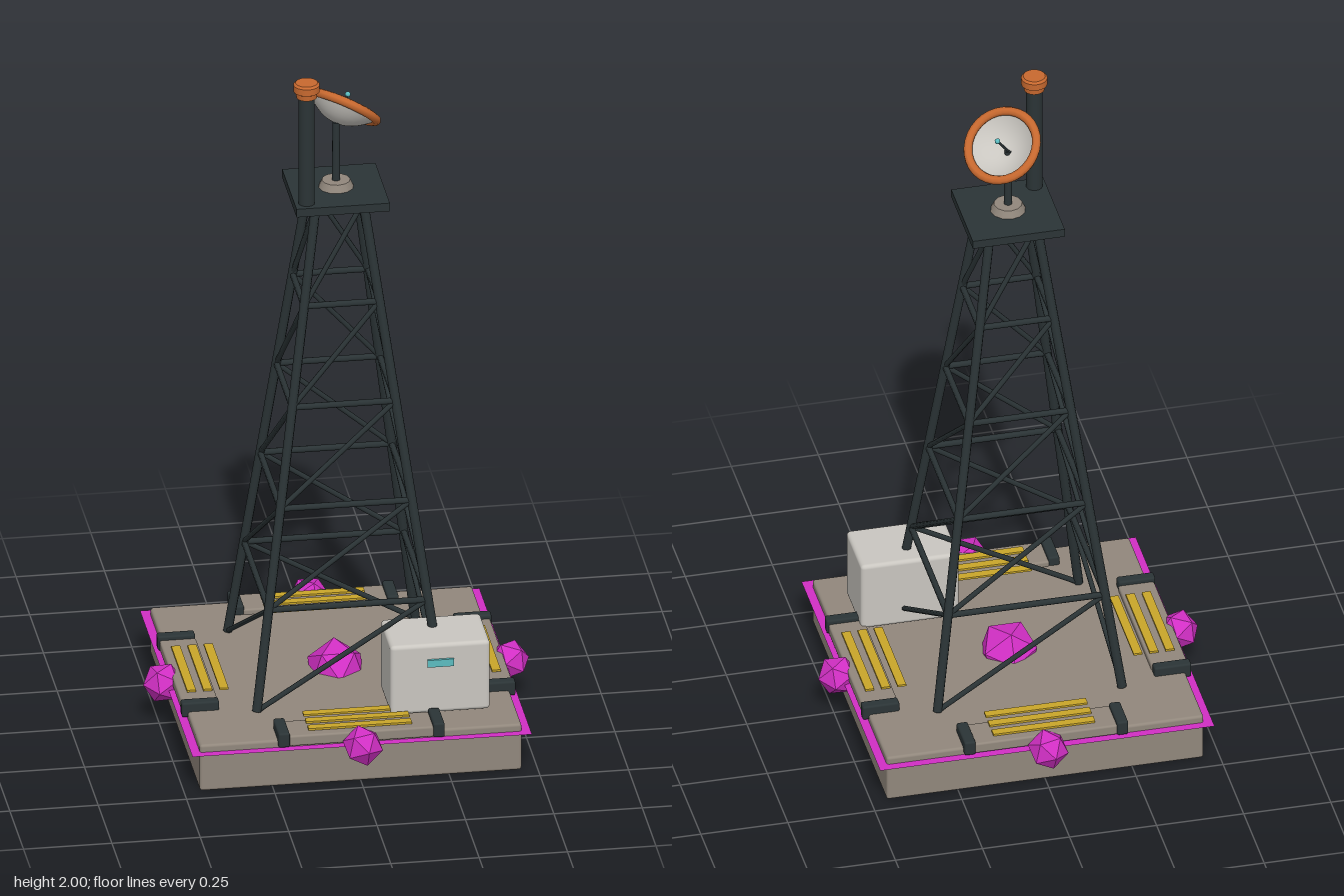
import * as THREE from 'three';
import { RoundedBoxGeometry } from 'three/addons/geometries/RoundedBoxGeometry.js';

const mat = (name, color, side = THREE.FrontSide) => {
  const m = new THREE.MeshStandardMaterial({ color, side });
  m.name = name;
  return m;
};

export function createModel() {
  const M = {
    stone: mat('warm grey', 0x91877c),
    steel: mat('dark steel', 0x2b3436),
    shell: mat('pale grey', 0xc9c6c0, THREE.DoubleSide),
    orange: mat('orange', 0xc8692f),
    yellow: mat('yellow', 0xc9a62a),
    magenta: mat('magenta', 0xd12fc4, THREE.DoubleSide),
    cyan: mat('cyan', 0x5cbcc0),
  };
  M.magenta.flatShading = true;
  const root = new THREE.Group();
  root.name = 'radioTower';

  const add = (parent, name, geo, material, x = 0, y = 0, z = 0) => {
    const mesh = new THREE.Mesh(geo, material);
    mesh.name = name;
    mesh.position.set(x, y, z);
    parent.add(mesh);
    return mesh;
  };
  const rbox = (w, h, d, r) => new RoundedBoxGeometry(w, h, d, 2, r);
  const UP = new THREE.Vector3(0, 1, 0);
  // round bar between two points
  const bar = (parent, name, a, b, r, sides = 8) => {
    const d = b.clone().sub(a);
    const m = add(parent, name, new THREE.CylinderGeometry(r, r, d.length(), sides), M.steel);
    m.position.copy(a).add(b).multiplyScalar(0.5);
    m.quaternion.setFromUnitVectors(UP, d.normalize());
  };

  // base slab with a thin sheet skirting its edge
  add(root, 'baseSlab', rbox(0.91, 0.142, 0.91, 0.008), M.stone, 0, 0.071, 0);
  add(root, 'edgeSheet', new THREE.PlaneGeometry(0.96, 0.96), M.magenta, 0, 0.12, 0).rotation.x = -Math.PI / 2;
  add(root, 'centreCrystal', new THREE.IcosahedronGeometry(0.088, 0), M.magenta, 0, 0.132, 0).rotation.x = 0.55;

  // the four sides: pad, clamps, stripes and crystal
  for (let i = 0; i < 4; i++) {
    const side = new THREE.Group();
    side.name = 'sideDock';
    side.rotation.y = i * Math.PI / 2;
    root.add(side);
    add(side, 'pad', rbox(0.41, 0.032, 0.103, 0.006), M.stone, 0, 0.142, 0.416);
    for (const s of [-1, 1]) {
      add(side, 'clamp', rbox(0.032, 0.044, 0.106, 0.006), M.steel, s * 0.219, 0.147, 0.419);
    }
    for (const z of [0.339, 0.385, 0.431]) {
      add(side, 'stripe', new THREE.BoxGeometry(0.292, 0.006, 0.025), M.yellow, 0, 0.163, z);
    }
    add(side, 'crystal', new THREE.IcosahedronGeometry(0.058, 0), M.magenta, 0, 0.125, 0.49).rotation.set(0.55, 0.2, 0);
  }

  // lattice tower: legs, level rungs and one diagonal per face in each bay
  const tower = new THREE.Group();
  tower.name = 'latticeTower';
  root.add(tower);
  const levels = 5;
  const corner = (k, level) => {
    const t = level / levels;
    const h = THREE.MathUtils.lerp(0.265, 0.067, t);
    const [sx, sz] = [[-1, 1], [1, 1], [1, -1], [-1, -1]][k % 4];
    return new THREE.Vector3(sx * h, 0.145 + t * 1.46, sz * h);
  };
  for (let k = 0; k < 4; k++) {
    bar(tower, 'leg', corner(k, 0), corner(k, levels), 0.0135);
    for (let n = 0; n < levels; n++) {
      bar(tower, 'diagonal', corner(k, n), corner(k + 1, n + 1), 0.0075, 6);
      if (n > 0) bar(tower, 'rung', corner(k, n), corner(k + 1, n), 0.009, 6);
    }
  }
  add(tower, 'platform', new THREE.BoxGeometry(0.264, 0.025, 0.264), M.steel, 0, 1.614, 0);

  // equipment cabinet
  add(root, 'cabinet', rbox(0.282, 0.212, 0.188, 0.012), M.shell, 0.24, 0.254, 0.265);
  add(root, 'cabinetDisplay', new THREE.BoxGeometry(0.075, 0.022, 0.009), M.cyan, 0.24, 0.304, 0.362);

  // antenna post with cap
  add(root, 'antennaPost', new THREE.CylinderGeometry(0.023, 0.023, 0.34, 16), M.steel, -0.098, 1.793, 0.096);
  const cap = [[0, 1.955], [0.029, 1.955], [0.03, 1.97], [0.037, 1.974], [0.037, 1.994], [0.031, 2], [0, 2]];
  // separate bands keep the cap edges crisp
  for (let i = 0; i < cap.length - 1; i++) {
    const pts = cap.slice(i, i + 2).map(([r, y]) => new THREE.Vector2(r, y));
    add(root, 'antennaCap', new THREE.LatheGeometry(pts, 20), M.orange, -0.098, 0, 0.096);
  }

  // dish mount
  add(root, 'mountFoot', new THREE.CylinderGeometry(0.04, 0.05, 0.022, 12), M.stone, 0, 1.637, 0);
  add(root, 'mountMast', new THREE.CylinderGeometry(0.01, 0.012, 0.19, 10), M.steel, 0, 1.73, 0);

  // tilted dish: local y is its axis, origin at the bowl's lowest point
  const dish = new THREE.Group();
  dish.name = 'dish';
  dish.position.set(-0.001, 1.823, 0.001);
  dish.quaternion.setFromUnitVectors(UP, new THREE.Vector3(0.46, 0.76, -0.46).normalize());
  root.add(dish);
  const bowl = [];
  for (let i = 0; i <= 8; i++) {
    const r = 0.102 * i / 8;
    bowl.push(new THREE.Vector2(r, 0.05 * (r / 0.102) ** 2));
  }
  add(dish, 'bowl', new THREE.LatheGeometry(bowl, 32), M.shell);
  add(dish, 'rim', new THREE.TorusGeometry(0.102, 0.013, 8, 32), M.orange, 0, 0.05, 0).rotation.x = Math.PI / 2;
  add(dish, 'feedRod', new THREE.CylinderGeometry(0.004, 0.004, 0.085, 8), M.steel, 0, 0.0425, 0);
  add(dish, 'feedTip', new THREE.SphereGeometry(0.008, 10, 8), M.cyan, 0, 0.088, 0);

  return root;
}
